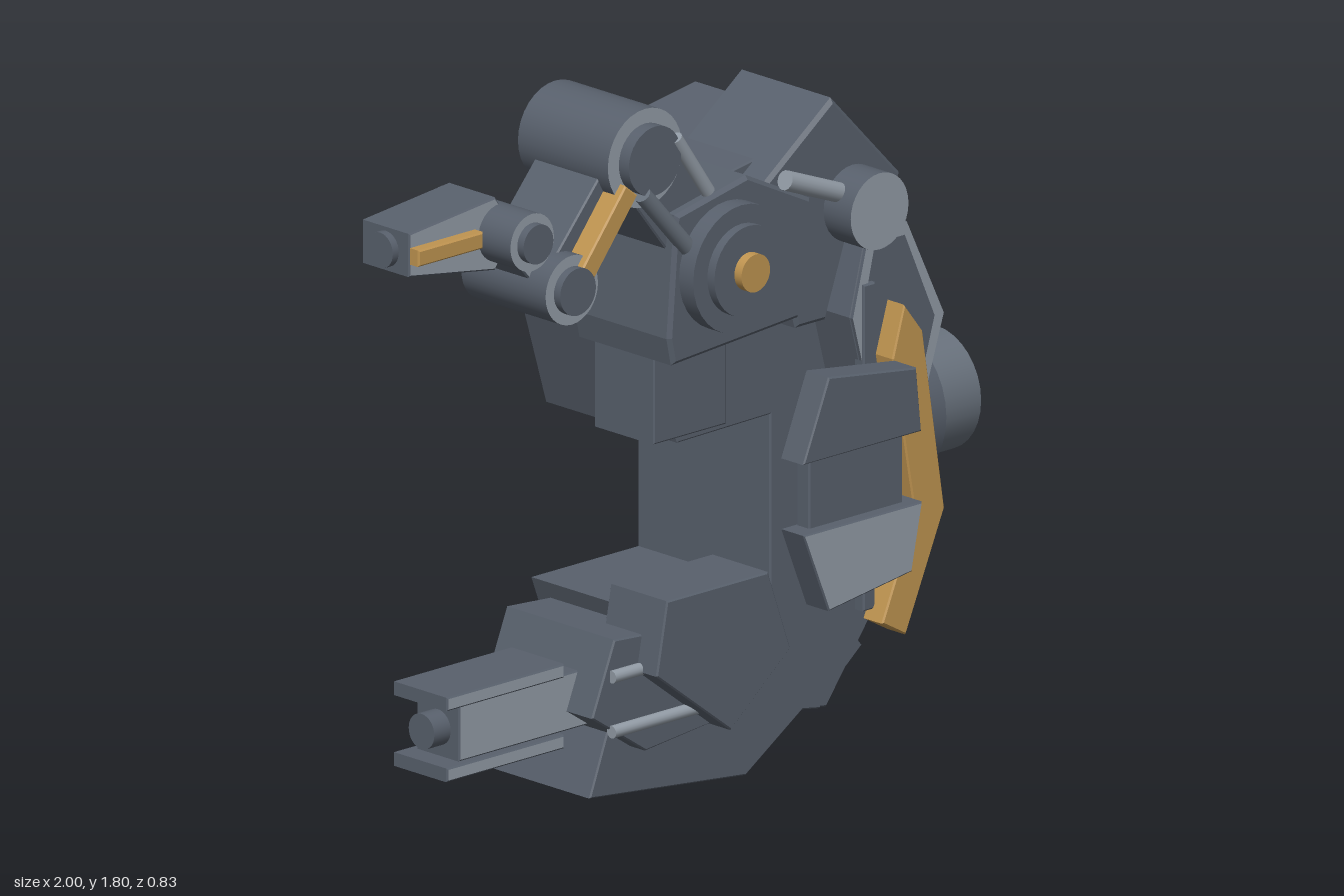
import * as THREE from 'three';

const mat = (name, color) => {
  const m = new THREE.MeshStandardMaterial({ color });
  m.name = name;
  return m;
};

export function createModel() {
  const dark = mat('dark steel', 0x58606c);
  const mid = mat('mid steel', 0x68717c);
  const light = mat('light steel', 0x929ba5);
  const gold = mat('gold', 0xbf9450);
  const root = new THREE.Group();

  const add = (name, geometry, material) => {
    const mesh = new THREE.Mesh(geometry, material);
    mesh.name = name;
    root.add(mesh);
    return mesh;
  };

  // Bevelled plate with an outline in x, y, running from z0 to z1;
  // its front and back faces may have their own colour
  const plate = (name, pts, z0, z1, material, { bevel = 0.004, hole, front = material, back = material } = {}) => {
    const shape = new THREE.Shape(pts.map(p => new THREE.Vector2(...p)));
    if (hole) shape.holes.push(new THREE.Path(hole.map(p => new THREE.Vector2(...p))));
    const g = new THREE.ExtrudeGeometry(shape, {
      depth: z1 - z0 - 2 * bevel, bevelEnabled: bevel > 0, bevelSize: bevel,
      bevelOffset: -bevel, bevelThickness: bevel, bevelSegments: 1,
    });
    g.translate(0, 0, z0 + bevel);
    const caps = g.groups[0].count, total = g.attributes.position.count;
    g.clearGroups();
    g.addGroup(0, caps / 2, 0);
    g.addGroup(caps / 2, caps / 2, 1);
    g.addGroup(caps, total - caps, 2);
    return add(name, g, [back, front, material]);
  };

  // Rectangular plate
  const block = (name, x0, x1, y0, y1, z0, z1, material, options) =>
    plate(name, [[x0, y0], [x1, y0], [x1, y1], [x0, y1]], z0, z1, material, options);

  // Bar of a given width between two points
  const link = (name, a, b, w, z0, z1, material, options) => {
    const dx = b[0] - a[0], dy = b[1] - a[1], l = Math.hypot(dx, dy);
    const nx = -dy / l * w / 2, ny = dx / l * w / 2;
    return plate(name, [[a[0] - nx, a[1] - ny], [b[0] - nx, b[1] - ny],
      [b[0] + nx, b[1] + ny], [a[0] + nx, a[1] + ny]], z0, z1, material, options);
  };

  // Disc or pin along z, with a front face colour
  const pin = (name, [x, y], r, z0, z1, material, front = material) => {
    const m = add(name, new THREE.CylinderGeometry(r, r, z1 - z0, 32), [material, front, material]);
    m.rotation.x = Math.PI / 2;
    m.position.set(x, y, (z0 + z1) / 2);
    return m;
  };

  // Cylinder along x
  const drum = (name, x0, x1, y, z, r, material) => {
    const m = add(name, new THREE.CylinderGeometry(r, r, x1 - x0, 32), material);
    m.rotation.z = Math.PI / 2;
    m.position.set((x0 + x1) / 2, y, z);
    return m;
  };

  // Round rod between two points at one depth
  const rod = (name, a, b, z, r, material) => {
    const p = new THREE.Vector3(...a, z), q = new THREE.Vector3(...b, z);
    const m = add(name, new THREE.CylinderGeometry(r, r, p.distanceTo(q), 16), material);
    m.position.copy(p).lerp(q, 0.5);
    m.quaternion.setFromUnitVectors(new THREE.Vector3(0, 1, 0), q.sub(p).normalize());
    return m;
  };

  const lightFront = { front: light };

  // C-shaped main body
  plate('body', [[0.38, 0.12], [0.71, 0.56], [0.605, 1.34], [0.38, 1.605], [-0.02, 1.54],
    [-0.21, 1.2], [-0.12, 0.9], [0.19, 0.905], [0.19, 0.465], [-0.17, 0.465], [-0.075, 0.21]],
  -0.41, 0.055, dark);
  block('upperJaw', -0.205, 0.04, 0.915, 1.17, -0.15, 0.06, dark);
  link('bodyRib', [0.44, 0.215], [0.495, 0.26], 0.03, -0.3, 0.05, dark);

  // Foot under the lower jaw
  plate('foot', [[-0.415, 0.06], [0.11, 0.005], [0.3, 0.13], [0.36, 0.12], [0.38, 0.3], [-0.3, 0.24], [-0.355, 0.22]],
    -0.3, 0.055, dark, { back: light });

  // Lower jaw armour
  plate('jawPlate', [[-0.275, 0.56], [0.065, 0.56], [0.14, 0.35], [-0.06, 0.185], [-0.31, 0.375]],
    -0.02, 0.18, dark);
  plate('jawBackPlate', [[-0.46, 0.285], [-0.385, 0.47], [-0.24, 0.46], [-0.04, 0.19], [-0.28, 0.165]],
    -0.27, 0.11, dark);

  // Lower barrel with rails
  block('barrel', -0.82, -0.3, 0.235, 0.38, -0.13, 0.02, dark, lightFront);
  for (const y of [0.2, 0.38]) block('barrelRail', -0.88, -0.485, y, y + 0.035, -0.15, 0.04, dark, lightFront);
  drum('muzzle', -0.875, -0.8, 0.307, -0.055, 0.045, dark);
  rod('barrelRod', [-0.4, 0.38], [-0.28, 0.38], 0.115, 0.016, light);
  rod('barrelRod', [-0.4, 0.24], [-0.1, 0.24], 0.115, 0.016, light);

  // Rear drum in three steps
  drum('rearDrum', 0.5, 0.82, 0.75, -0.18, 0.195, dark);
  drum('rearDrumStep', 0.82, 0.975, 0.75, -0.18, 0.155, mid);
  drum('rearDrumCap', 0.97, 1.0, 0.75, -0.18, 0.105, dark);

  // Shoulder hood with side knob
  plate('hood', [[0.09, 1.53], [0.32, 1.7], [0.55, 1.46], [0.5, 1.36], [0.38, 1.36], [0.3, 1.14], [0.2, 1.14]],
    -0.19, 0.14, dark, { bevel: 0.01 });
  drum('knob', 0.45, 0.64, 1.42, -0.15, 0.082, mid);
  drum('knobCap', 0.64, 0.67, 1.42, -0.15, 0.055, dark);
  pin('hoodPivot', [0.385, 1.42], 0.097, 0.13, 0.235, dark, light);
  rod('hoodRod', [0.13, 1.54], [0.36, 1.45], 0.17, 0.025, light);

  // Side guard with a light rim
  const guard = [[0.33, 1.15], [0.385, 1.36], [0.51, 1.36], [0.635, 1.1], [0.57, 0.9], [0.42, 0.81]];
  const inner = guard.map(([x, y]) => [0.48 + (x - 0.48) * 0.8, 1.1 + (y - 1.1) * 0.87]);
  plate('sideGuard', guard, 0.04, 0.19, dark);
  plate('sideGuardRim', guard, 0.19, 0.199, dark, { bevel: 0, hole: inner, front: light });
  block('darkStrip', 0.36, 0.4, 0.4, 1.23, 0.17, 0.205, dark);
  plate('goldStrip', [[0.455, 1.17], [0.517, 1.09], [0.59, 0.625], [0.46, 0.33], [0.38, 0.375],
    [0.49, 0.63], [0.415, 1.04]], 0.18, 0.25, gold);

  // Clamp in front of the jaws
  plate('lowerClamp', [[-0.045, 0.73], [0.04, 0.52], [0.32, 0.56], [0.355, 0.73]],
    0.335, 0.418, dark, { front: light, back: light });
  plate('upperClamp', [[-0.045, 0.91], [0.04, 1.115], [0.335, 1.075], [0.352, 0.91]], 0.335, 0.418, dark);
  block('clampBridge', 0.005, 0.32, 0.7, 0.94, 0.34, 0.385, dark);
  pin('clampDisc', [0.262, 0.815], 0.175, 0.262, 0.298, dark).scale.x = 0.42;
  pin('clampDiscCap', [0.245, 0.815], 0.135, 0.303, 0.314, dark).scale.x = 0.42;

  // Arm joints
  const elbow = [-0.045, 1.36], shoulder = [-0.297, 1.68], wrist = [-0.543, 1.398], knuckle = [-0.676, 1.548];
  plate('armMount', [[-0.24, 1.21], [-0.215, 1.52], [0.025, 1.57], [0.24, 1.465], [0.2, 1.17], [-0.225, 1.14]],
    -0.19, 0.15, dark, { bevel: 0.01 });
  pin('elbowBack', [-0.07, 1.36], 0.14, -0.25, -0.1, dark);
  pin('elbow', elbow, 0.162, 0.14, 0.2, dark);
  pin('elbowCap', elbow, 0.115, 0.2, 0.225, dark);
  pin('elbowGoldCap', elbow, 0.048, 0.225, 0.25, gold);

  // Upper arm with two rods
  link('upperArm', shoulder, elbow, 0.19, -0.18, 0.12, dark);
  rod('armRod', [-0.33, 1.6], [-0.15, 1.4], 0.15, 0.022, mid);
  rod('armRod', [-0.22, 1.72], [-0.11, 1.56], 0.15, 0.018, light);
  pin('shoulder', shoulder, 0.125, -0.19, 0.125, dark, light);
  pin('shoulderBack', shoulder, 0.06, -0.2, -0.18, dark);
  pin('shoulderCap', shoulder, 0.088, 0.125, 0.16, dark);

  // Forearm and wrist
  link('forearm', shoulder, wrist, 0.13, -0.14, 0.085, dark);
  link('forearmGold', [-0.36, 1.615], [-0.505, 1.435], 0.053, 0.08, 0.145, gold);
  pin('wrist', wrist, 0.088, -0.17, 0.125, dark, light);
  pin('wristCap', wrist, 0.06, 0.125, 0.147, dark);
  link('wristLink', wrist, knuckle, 0.08, -0.12, 0.06, dark, lightFront);
  pin('knuckle', knuckle, 0.073, -0.19, 0.125, dark, light);
  pin('knuckleCap', knuckle, 0.05, 0.125, 0.147, dark);

  // Finger
  plate('finger', [[-0.98, 1.5], [-0.98, 1.61], [-0.69, 1.64], [-0.63, 1.55], [-0.69, 1.455]],
    -0.155, 0.012, dark, lightFront);
  block('fingerGold', -0.98, -0.762, 1.533, 1.575, 0.01, 0.045, gold);
  drum('fingerTip', -1.0, -0.96, 1.555, -0.07, 0.045, dark);

  return root;
}
